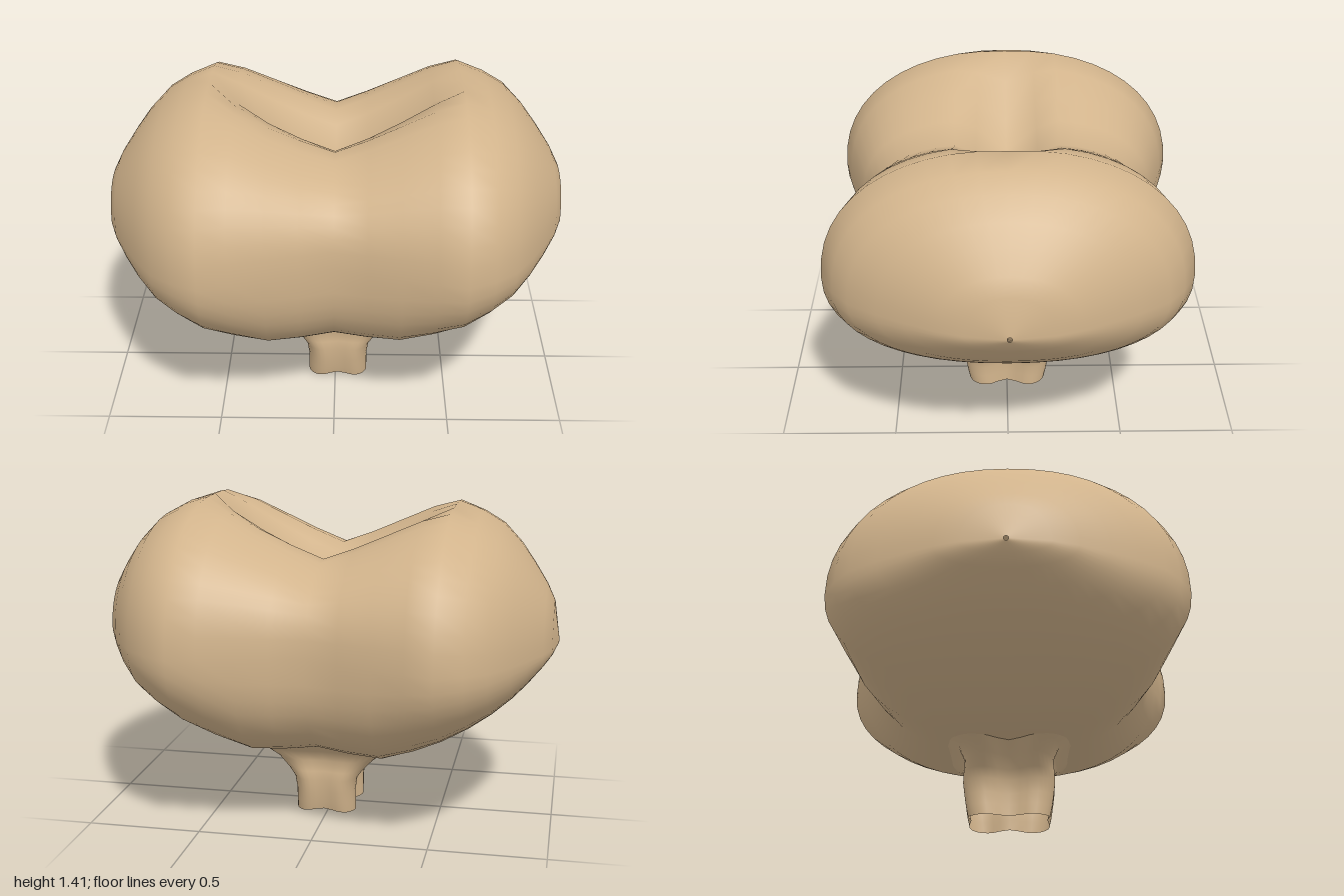
import * as THREE from 'three';

// Skin a list of closed rings (equal point counts) with smooth normals.
function loft(rings) {
  const n = rings[0].length, pos = [], idx = [];
  rings.forEach(r => r.forEach(p => pos.push(...p)));
  for (let i = 0; i < rings.length - 1; i++) {
    for (let j = 0; j < n; j++) {
      const a = i * n + j, b = i * n + (j + 1) % n;
      idx.push(a, b, a + n, b, b + n, a + n);
    }
  }
  const g = new THREE.BufferGeometry();
  g.setAttribute('position', new THREE.Float32BufferAttribute(pos, 3));
  g.setIndex(idx);
  g.computeVertexNormals();
  return g;
}

const power = (v, e) => Math.sign(v) * Math.pow(Math.abs(v), e);
const bump = (v, w) => Math.exp(-((v / w) ** 2));

// Half of the body: distance from the middle, half depth, top height, bottom height
const HALF = [
  [0, 0.61, 1.19, 0.33], [0.14, 0.65, 1.245, 0.31], [0.28, 0.69, 1.31, 0.3],
  [0.42, 0.73, 1.375, 0.35], [0.54, 0.765, 1.41, 0.41], [0.65, 0.71, 1.37, 0.475],
  [0.74, 0.64, 1.32, 0.54], [0.82, 0.52, 1.24, 0.605], [0.88, 0.41, 1.16, 0.665],
  [0.94, 0.285, 1.07, 0.735], [0.975, 0.18, 1.0, 0.78], [1, 0.01, 0.84, 0.82],
];
const MID = 0.83;

// Two-lobed body: upright sections strung along x
function bodyGeometry() {
  const sections = [
    ...HALF.slice(1).reverse().map(([x, ...s]) => [-x, ...s]),
    ...HALF,
  ];
  const rings = sections.map(([x, w, top, bottom]) => {
    const ring = [], N = 48;
    const e = 2 / (2.2 + 0.5 * Math.max(0, 1 - Math.abs(x) / 0.55));
    // trench across the saddle, fading out on the lobes
    const dip = 0.17 * Math.max(0, 1 - (x / 0.55) ** 2);
    for (let j = 0; j < N; j++) {
      const a = (j / N) * Math.PI * 2;
      const s = power(Math.sin(a), e), z = w * power(Math.cos(a), e);
      let y = MID + s * (s > 0 ? top - MID : MID - bottom);
      if (s > 0) y -= dip * bump(z, 0.12);
      ring.push([x, y + 0.016 * x, z]);
    }
    return ring;
  });
  return loft(rings);
}

// Fluted stem: height, half width, half depth; it flares into the body
function stemGeometry() {
  const levels = [
    [0, 0.152, 0.19], [0.05, 0.152, 0.2], [0.1, 0.152, 0.208], [0.16, 0.162, 0.216],
    [0.2, 0.195, 0.213], [0.25, 0.25, 0.207], [0.3, 0.33, 0.235], [0.35, 0.42, 0.31],
    [0.42, 0.48, 0.4],
  ];
  const rings = levels.map(([y, rx, rz]) => {
    const ring = [], N = 48, e = 2 / 2.7;
    for (let j = 0; j < N; j++) {
      const a = -(j / N) * Math.PI * 2;
      const c = power(Math.cos(a), e), s = power(Math.sin(a), e);
      // grooves on the sides, shallower ones front and back
      const x = rx * c * (1 - 0.36 * bump(s, 0.38));
      const z = rz * s * (1 - 0.14 * bump(c, 0.4));
      const lift = y === 0 ? 0.016 * bump(x, 0.08) : 0;
      ring.push([x + 0.012, y + lift, z]);
    }
    return ring;
  });
  return loft(rings);
}

export function createModel() {
  const group = new THREE.Group();
  const material = new THREE.MeshStandardMaterial({ color: 0xd2b48c, side: THREE.DoubleSide });
  const add = (name, geometry) => {
    const mesh = new THREE.Mesh(geometry, material);
    mesh.name = name;
    group.add(mesh);
  };
  add('lobedBody', bodyGeometry());
  add('stem', stemGeometry());
  return group;
}
